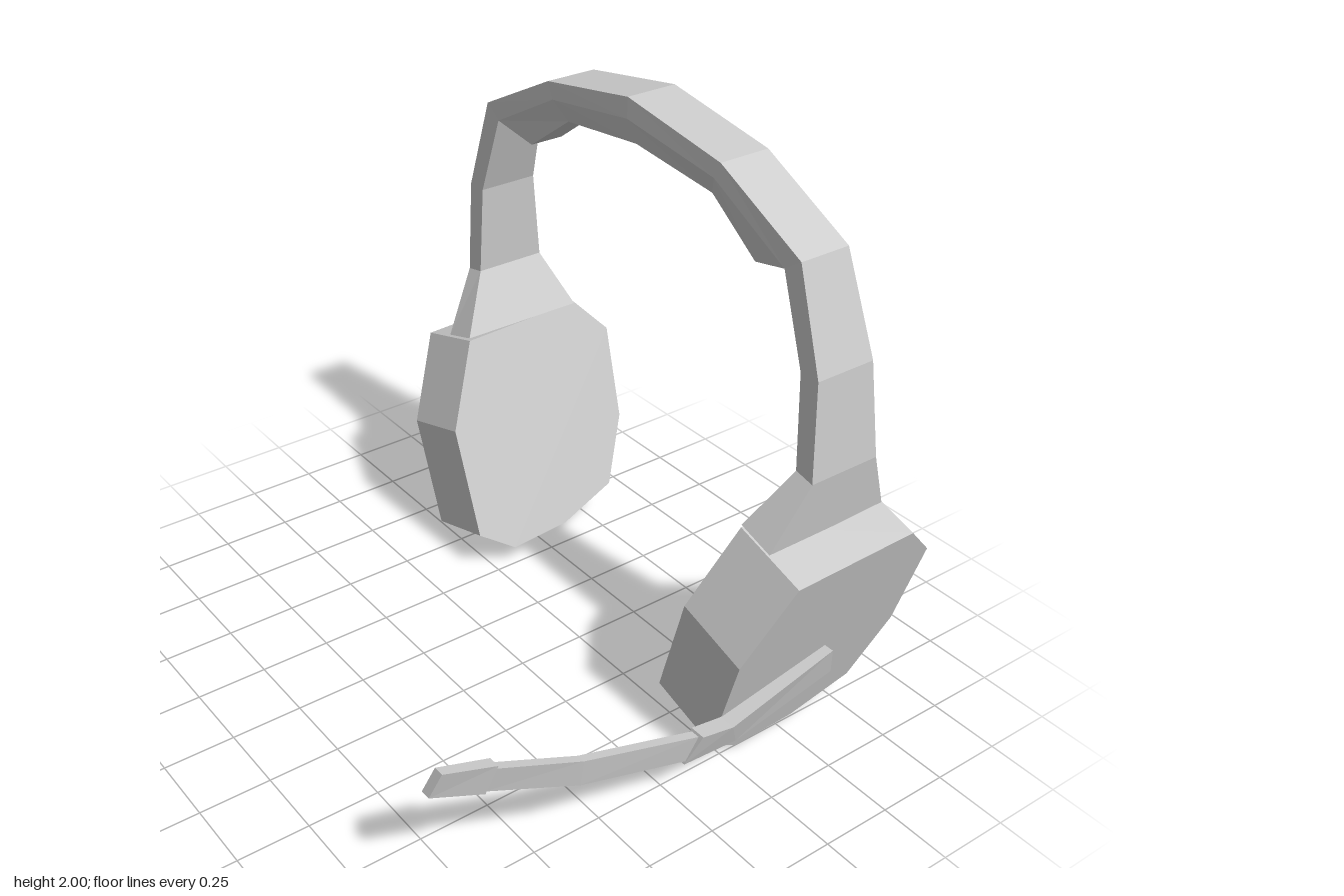
import * as THREE from 'three';

const material = new THREE.MeshStandardMaterial({ color: 0xcccccc, flatShading: true });

// Closed solid through a row of convex cross-sections with equal point counts
function loft(name, sections) {
  const pos = [];
  const n = sections[0].length;
  const tri = (a, b, c) => pos.push(...a, ...b, ...c);
  for (let s = 0; s < sections.length - 1; s++) {
    const A = sections[s], B = sections[s + 1];
    for (let i = 0; i < n; i++) {
      const j = (i + 1) % n;
      tri(A[i], A[j], B[j]);
      tri(A[i], B[j], B[i]);
    }
  }
  const first = sections[0], last = sections[sections.length - 1];
  for (let i = 1; i < n - 1; i++) {
    tri(first[0], first[i + 1], first[i]);
    tri(last[0], last[i], last[i + 1]);
  }
  // Turn the faces outward if the enclosed volume is negative
  let volume = 0;
  const a = new THREE.Vector3(), b = new THREE.Vector3(), c = new THREE.Vector3();
  for (let i = 0; i < pos.length; i += 9) {
    a.fromArray(pos, i); b.fromArray(pos, i + 3); c.fromArray(pos, i + 6);
    volume += a.dot(b.cross(c));
  }
  if (volume < 0) {
    for (let i = 0; i < pos.length; i += 9) {
      for (let k = 0; k < 3; k++) {
        [pos[i + 3 + k], pos[i + 6 + k]] = [pos[i + 6 + k], pos[i + 3 + k]];
      }
    }
  }
  const geometry = new THREE.BufferGeometry();
  geometry.setAttribute('position', new THREE.Float32BufferAttribute(pos, 3));
  geometry.computeVertexNormals();
  const mesh = new THREE.Mesh(geometry, material);
  mesh.name = name;
  return mesh;
}

// Four-cornered section of the band: outer and inner point, front and back z,
// with the inner edge optionally narrowed
const bandSection = ([ox, oy, ix, iy, zf, zb, inset = 0]) => [
  [ox, oy, zf], [ox, oy, zb], [ix, iy, zb + inset], [ix, iy, zf - inset],
];

// Mirror half a row of sections (ending on x = 0) to the other side
const mirrorRow = (half) => [
  ...half,
  ...half.slice(0, -1).reverse().map(([ox, oy, ix, iy, ...z]) => [-ox, oy, -ix, iy, ...z]),
];

// Four-cornered section of the boom: top z, y, x range, then bottom z, y, x range
const boomSection = ([tz, ty, tx0, tx1, bz, by, bx0, bx1]) => [
  [tx0, ty, tz], [tx1, ty, tz], [bx1, by, bz], [bx0, by, bz],
];

export function createModel() {
  const model = new THREE.Group();
  model.name = 'headset';

  // Ear cups: nine-sided slabs leaning outward at the top
  const cupOutline = [
    [-0.32, 0.005], [-0.56, 0.02], [-0.79, 0.10], [-0.89, 0.34], [-0.895, 0.675],
    [-0.765, 0.81], [-0.29, 0.795], [-0.16, 0.50], [-0.18, 0.10],
  ];
  for (const [side, label] of [[1, 'left'], [-1, 'right']]) {
    const outer = cupOutline.map(([z, y]) => [side * (0.75 + 0.3 * y), y, z]);
    const inner = outer.map(([x, y, z]) => [x - side * 0.262, y + 0.08, z]);
    model.add(loft(label + 'EarCup', [outer, inner]));
  }

  // Headband, flaring into the cup tops at both ends
  const bandHalf = [
    [0.855, 0.845, 0.728, 0.885, -0.29, -0.765],
    [0.89, 1.07, 0.82, 1.085, -0.405, -0.67],
    [0.872, 1.41, 0.80, 1.41, -0.405, -0.625],
    [0.763, 1.745, 0.70, 1.70, -0.405, -0.59],
    [0.415, 1.925, 0.39, 1.87, -0.40, -0.585],
    [0, 2.0, 0, 1.93, -0.39, -0.575],
  ];
  model.add(loft('headband', mirrorRow(bandHalf).map(bandSection)));

  // Padding under the crown, narrowing downward
  const padHalf = [
    [0.70, 1.70, 0.55, 1.655, -0.405, -0.59, 0.03],
    [0.39, 1.87, 0.35, 1.80, -0.40, -0.585, 0.035],
    [0, 1.93, 0, 1.84, -0.39, -0.575, 0.04],
  ];
  model.add(loft('headbandPad', mirrorRow(padHalf).map(bandSection)));

  // Microphone: arm lying on the left cup, thin boom and head
  const microphone = new THREE.Group();
  microphone.name = 'microphone';
  microphone.add(
    loft('microphoneArm', [
      [-0.57, 0.38, 0.85, 0.90, -0.605, 0.26, 0.815, 0.87],
      [-0.17, 0.255, 0.825, 0.885, -0.22, 0.15, 0.795, 0.85],
      [-0.04, 0.285, 0.835, 0.89, 0, 0.17, 0.81, 0.855],
    ].map(boomSection)),
    loft('microphoneBoom', [
      [-0.04, 0.275, 0.84, 0.872, -0.01, 0.18, 0.825, 0.855],
      [0.41, 0.415, 0.84, 0.87, 0.41, 0.31, 0.825, 0.855],
      [0.70, 0.515, 0.80, 0.832, 0.72, 0.425, 0.782, 0.812],
    ].map(boomSection)),
    loft('microphoneHead', [
      [0.69, 0.525, 0.798, 0.838, 0.72, 0.417, 0.775, 0.815],
      [0.87, 0.58, 0.79, 0.825, 0.90, 0.49, 0.765, 0.80],
    ].map(boomSection)),
  );
  model.add(microphone);

  return model;
}
